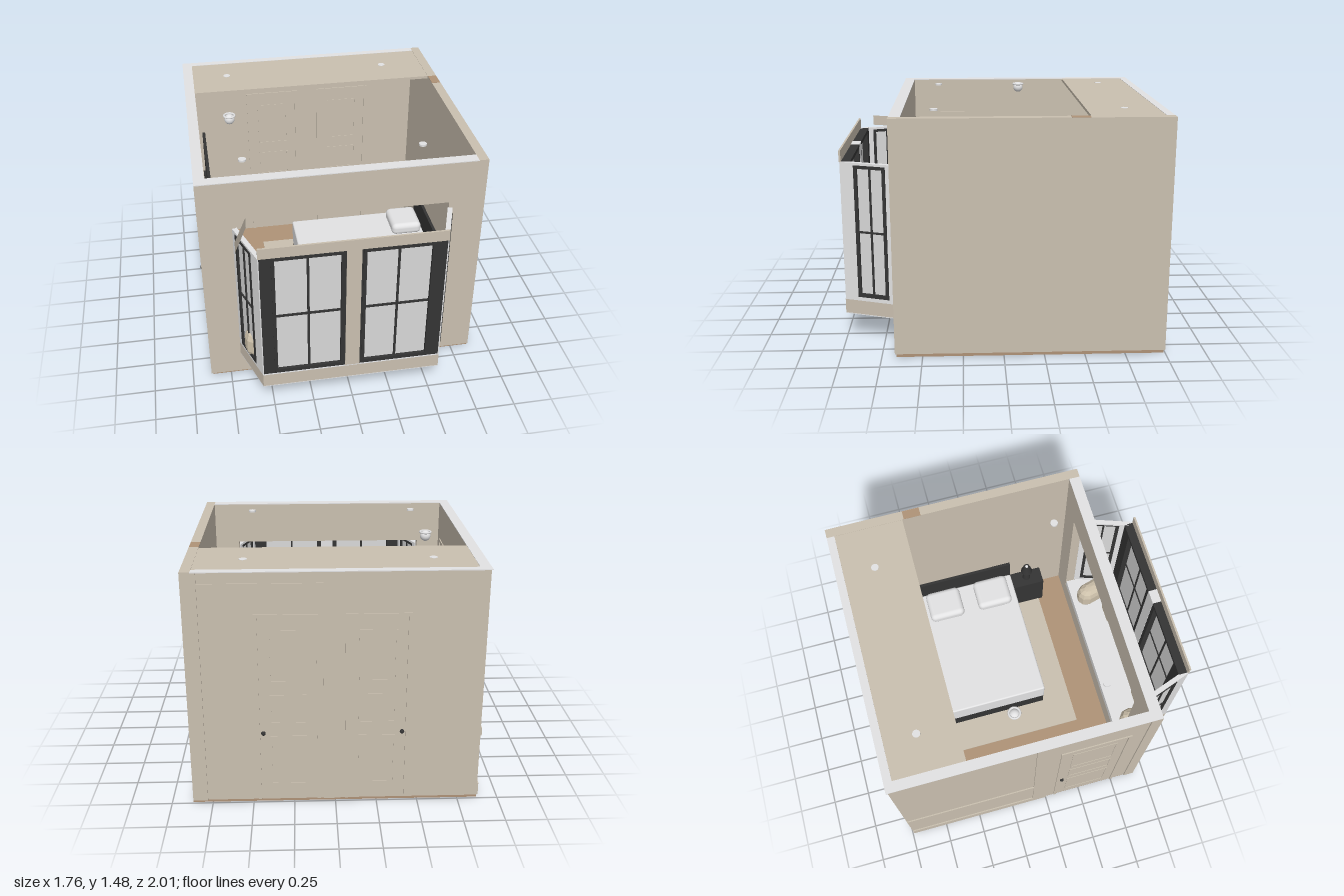
import * as THREE from 'three';
import { RoundedBoxGeometry } from 'three/addons/geometries/RoundedBoxGeometry.js';

const mat = (name, color) => Object.assign(new THREE.MeshStandardMaterial({ color }), { name });

export function createModel() {
  const beige = mat('wall beige', 0xc9bfaf);
  const white = mat('white', 0xe2e2e3);
  const brown = mat('wood brown', 0xae9277);
  const black = mat('black', 0x343434);
  const glass = mat('window pane', 0xd8d8d8);
  const cushionMat = mat('cushion', 0xccc0aa);
  cushionMat.flatShading = true;

  const root = new THREE.Group();
  root.name = 'bedroom';

  const add = (name, geo, m, parent = root, x = 0, y = 0, z = 0) => {
    const mesh = new THREE.Mesh(geo, m);
    mesh.name = name;
    mesh.position.set(x, y, z);
    parent.add(mesh);
    return mesh;
  };
  // box from min and max corners
  const box = (name, m, x0, x1, y0, y1, z0, z1, parent = root) =>
    add(name, new THREE.BoxGeometry(x1 - x0, y1 - y0, z1 - z0), m, parent,
      (x0 + x1) / 2, (y0 + y1) / 2, (z0 + z1) / 2);
  const rect = (T, x0, x1, y0, y1) => new T([
    [x0, y0], [x1, y0], [x1, y1], [x0, y1]].map(p => new THREE.Vector2(...p)));
  // rectangular panel with a rectangular hole, extruded along +z
  const holed = (outer, hole, depth) => {
    const s = rect(THREE.Shape, ...outer);
    s.holes.push(rect(THREE.Path, ...hole));
    return new THREE.ExtrudeGeometry(s, { depth, bevelEnabled: false });
  };

  // floor, rug and the rug's underside
  box('floor', brown, -0.87, 0.87, 0.002, 0.02, -0.99, 0.66);
  box('rug', beige, -0.38, 0.8, 0.02, 0.028, -0.73, 0.39);
  box('rugUnderside', beige, -0.38, 0.78, 0, 0.004, -0.36, 0.39);

  // walls, with white caps on three of them
  const H = 1.475;
  add('frontWall', holed([-0.88, 0.87, 0.018, H], [-0.66, 0.645, 0.2, 1.2], 0.07), beige, root, 0, 0, 0.6);
  box('rightWall', beige, 0.81, 0.87, 0.018, 1.48, -1, 0.6);
  box('leftWall', beige, -0.872, -0.815, 0.018, H, -0.992, 0.6);
  box('backWall', beige, -0.815, 0.81, 0.018, H, -0.992, -0.95);
  box('frontCap', white, -0.88, 0.81, H, 1.48, 0.6, 0.67);
  box('leftCap', white, -0.88, -0.815, H, 1.48, -1, 0.6);
  box('backCap', white, -0.815, 0.81, H, 1.48, -1, -0.95);
  box('frontRightCap', beige, 0.81, 0.87, H, 1.48, 0.6, 0.67);
  box('ceiling', beige, -0.815, 0.81, 1.46, 1.478, -0.95, -0.51);
  box('floorEdge', brown, 0.81, 0.868, 1.48, 1.482, -0.5, -0.39);

  // trim outside the back and left walls
  box('backPilaster', beige, -0.03, 0.07, 0.018, H, -0.998, -0.99);
  box('backCorner', beige, 0.78, 0.81, 0.018, H, -1, -0.99);
  box('backRail', beige, 0.07, 0.78, 1.38, 1.41, -0.998, -0.99);
  box('leftPilaster', beige, -0.88, -0.87, 0.018, H, -0.1, 0);
  for (const [y0, y1] of [[0.02, 0.1], [0.43, 0.48]])
    box('leftRail', beige, -0.88, -0.87, y0, y1, -0.99, -0.1);
  for (const x of [-0.815, 0.802]) box('skirting', beige, x, x + 0.008, 0.02, 0.1, -0.95, 0.0);

  // panelled door lying against a wall, facing local +z
  const door = (w, h, knobSide, x, z, turn) => {
    const g = new THREE.Group();
    g.name = 'door';
    const a = w / 2;
    for (const s of [-1, 1]) box('jamb', beige, s * (a - 0.01) - 0.01, s * (a - 0.01) + 0.01, 0.02, h, 0, 0.008, g);
    box('lintel', beige, -a, a, h - 0.02, h, 0, 0.008, g);
    for (const [y0, y1] of [[0.12, 0.45], [0.53, 0.72], [0.8, h - 0.1]])
      add('panelMoulding', holed([-a + 0.08, a - 0.08, y0, y1], [-a + 0.09, a - 0.09, y0 + 0.01, y1 - 0.01], 0.004), beige, g);
    add('knob', new THREE.SphereGeometry(0.014, 10, 8), black, g, knobSide * (a - 0.04), 0.47, 0.004);
    g.position.set(x, 0, z);
    g.rotation.y = turn;
    root.add(g);
  };
  for (const [x, k] of [[0.28, 1], [-0.247, -1]]) {
    door(0.38, 1.225, -k, x, -0.991, Math.PI);
    door(0.38, 1.225, k, x, -0.951, 0);
  }
  door(0.45, 1.235, -1, -0.871, 0.285, -Math.PI / 2);
  door(0.45, 1.235, 1, -0.816, 0.285, Math.PI / 2);

  // bay: seat block with white top and underside
  const bay = new THREE.Group();
  bay.name = 'bayWindow';
  bay.position.x = -0.005;
  root.add(bay);
  const slab = (name, m, y0, y1) => {
    const s = new THREE.Shape([[-0.675, -0.67], [-0.56, -0.998], [0.56, -0.998], [0.675, -0.67]].map(p => new THREE.Vector2(...p)));
    add(name, new THREE.ExtrudeGeometry(s, { depth: y1 - y0, bevelEnabled: false }).rotateX(-Math.PI / 2), m, bay, 0, y0, 0);
  };
  slab('bayUnderside', white, 0.168, 0.174);
  slab('bayApron', beige, 0.174, 0.264);
  slab('baySeat', white, 0.264, 0.27);
  box('sill', white, -0.64, 0.64, 0.2, 0.27, 0.6, 0.67, bay);

  // pane crossed by one upright and one level bar, visible on both sides
  const sash = (g, x0, x1, y0, y1, z, bar) => {
    const cx = (x0 + x1) / 2, cy = (y0 + y1) / 2;
    box('pane', glass, x0, x1, y0, y1, z - 0.004, z + 0.004, g);
    box('uprightBar', black, cx - bar, cx + bar, y0, y1, z - 0.01, z + 0.012, g);
    box('levelBar', black, x0, x1, cy - bar, cy + bar, z - 0.01, z + 0.012, g);
  };

  // front windows
  for (const s of [-1, 1]) {
    const span = (a, b) => s > 0 ? [a, b] : [-b, -a];
    const [x0, x1] = span(0.045, 0.555), [p0, p1] = span(0.075, 0.465);
    add('frontFrame', holed([x0, x1, 0.27, 1.16], [p0, p1, 0.3, 1.135], 0.062), black, bay, 0, 0, 0.932);
    const [f0, f1] = span(0.055, 0.485);
    add('frontSashFrame', holed([f0, f1, 0.28, 1.155], [p0, p1, 0.3, 1.135], 0.004), black, bay, 0, 0, 0.994);
    sash(bay, p0, p1, 0.3, 1.135, 0.975, 0.007);
  }
  box('mullion', beige, -0.045, 0.045, 0.27, 1.16, 0.94, 0.998, bay);
  box('mullionInside', white, -0.045, 0.045, 0.27, 1.164, 0.93, 0.94, bay);
  box('mullionCap', white, -0.045, 0.045, 1.16, 1.164, 0.94, 0.988, bay);
  box('frontBand', beige, -0.56, 0.56, 1.16, 1.23, 0.988, 1, bay);

  // slanted side windows
  for (const s of [-1, 1]) {
    const g = new THREE.Group();
    g.name = 'sideWindow';
    g.position.set(s * 0.6175, 0, 0.834);
    g.rotation.y = s * Math.atan2(0.328, 0.115);
    // local x runs toward the front on the left of the room, mirrored on the right
    const span = (a, b) => s > 0 ? [-b, -a] : [a, b];
    const [o0, o1] = span(-0.172, 0.172), [w0, w1] = span(-0.13, 0.08), [p0, p1] = span(-0.108, 0.058);
    add('sideSurround', holed([o0, o1, 0.27, 1.16], [w0, w1, 0.29, 1.145], 0.03), white, g, 0, 0, -0.03);
    add('sideFrame', holed([w0, w1, 0.29, 1.145], [p0, p1, 0.315, 1.125], 0.03), black, g, 0, 0, -0.026);
    sash(g, p0, p1, 0.315, 1.125, -0.012, 0.006);
    bay.add(g);
  }
  // upper band on one slanted side, facing into the room
  const band = add('sideBand', new THREE.PlaneGeometry(0.25, 0.07), beige, bay, -0.634, 1.195, 0.79);
  band.rotation.y = Math.atan2(0.328, 0.115);

  // faceted seat cushions
  for (const [x, z, turn] of [[-0.42, 0.85, 0], [0.28, 0.85, 0], [-0.575, 0.75, 1.3], [0.46, 0.74, -1.3]]) {
    const geo = new THREE.SphereGeometry(1, 10, 7);
    const p = geo.attributes.position;
    for (let i = 0; i < p.count; i++) {
      const sq = v => Math.sign(v) * Math.pow(Math.abs(v), 0.6);
      p.setXYZ(i, sq(p.getX(i)) * 0.12, sq(p.getY(i)) * 0.105, p.getZ(i) * 0.07);
    }
    geo.computeVertexNormals();
    add('seatCushion', geo, cushionMat, root, x, 0.375, z).rotation.y = turn;
  }

  // bed
  box('bedBase', black, -0.165, 0.78, 0.03, 0.16, -0.525, 0.185);
  add('mattress', new RoundedBoxGeometry(0.95, 0.18, 0.72, 2, 0.012), white, root, 0.305, 0.25, -0.17);
  box('headboard', black, 0.78, 0.8, 0.03, 0.5, -0.53, 0.19);
  for (const z of [-0.35, 0.015])
    add('bedPillow', new RoundedBoxGeometry(0.22, 0.09, 0.255, 4, 0.035), white, root, 0.65, 0.375, z);

  // nightstand and lamp
  box('nightstand', black, 0.66, 0.78, 0.02, 0.33, 0.19, 0.42);
  add('lampBase', new THREE.CylinderGeometry(0.012, 0.03, 0.12, 12), black, root, 0.73, 0.39, 0.305);
  add('lampShade', new THREE.CylinderGeometry(0.022, 0.042, 0.07, 16), black, root, 0.73, 0.47, 0.305);
  add('lampTip', new THREE.SphereGeometry(0.012, 10, 8), white, root, 0.73, 0.508, 0.305);

  // wall screen on its bracket
  box('screen', black, -0.785, -0.765, 0.69, 1.06, -0.72, -0.06);
  box('screenBracket', black, -0.815, -0.785, 0.84, 0.92, -0.42, -0.36);

  // ceiling lights
  for (const x of [-0.58, 0.53]) for (const z of [-0.75, 0.415]) {
    add('downlight', new THREE.CylinderGeometry(0.024, 0.024, 0.012, 16), white, root, x, 1.474, z);
    add('downlightRing', new THREE.TorusGeometry(0.018, 0.003, 6, 16).rotateX(Math.PI / 2), black, root, x, 1.477, z);
  }
  add('ceilingLampRing', new THREE.TorusGeometry(0.034, 0.007, 8, 24).rotateX(Math.PI / 2), white, root, -0.61, 1.47, -0.165);
  add('ceilingLampBowl', new THREE.SphereGeometry(0.034, 16, 10), white, root, -0.61, 1.445, -0.165);

  return root;
}
